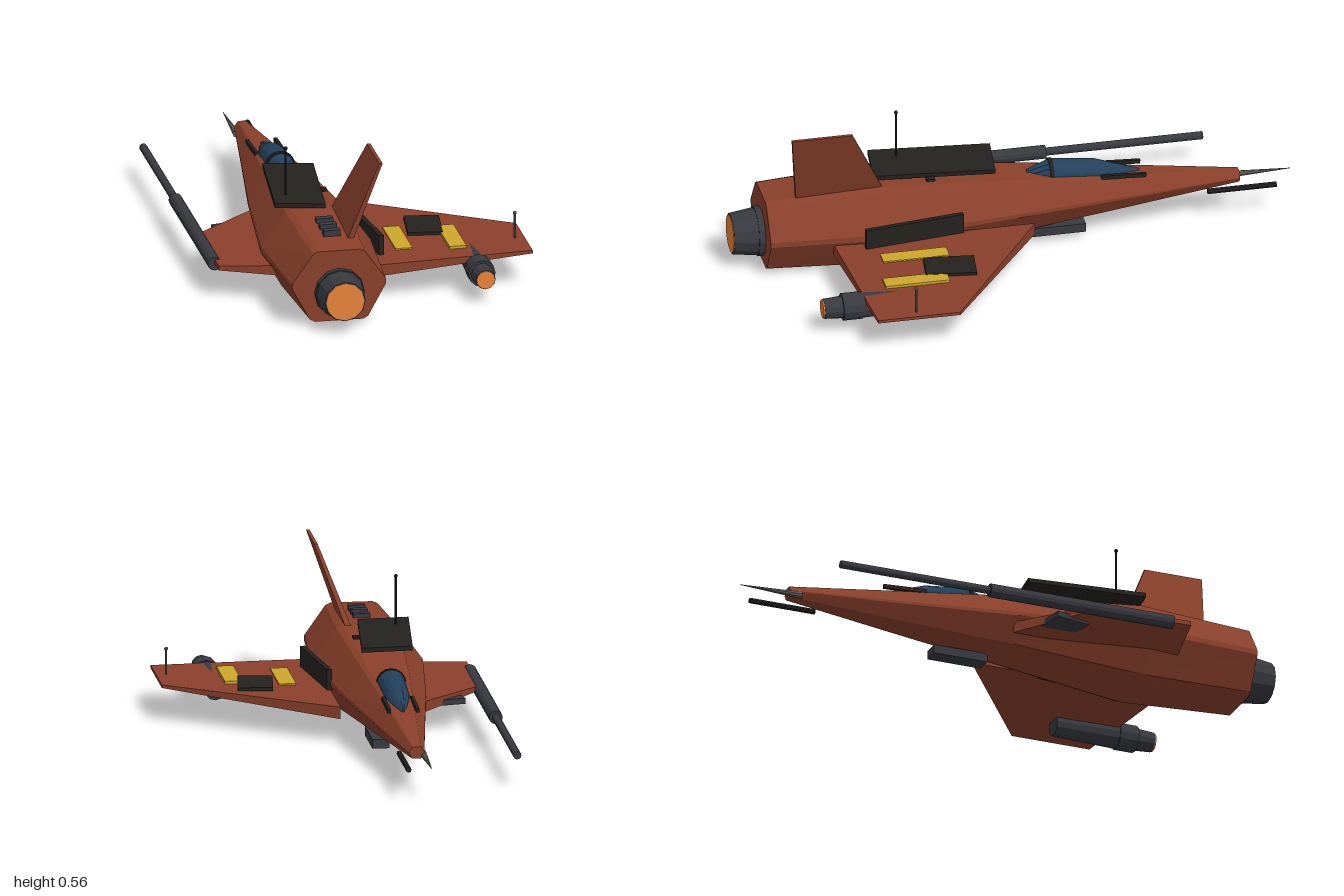
import * as THREE from 'three';

const mat = (color) => new THREE.MeshStandardMaterial({ color, flatShading: true });
const rust = mat(0x8a402b), dark = mat(0x24221f), grey = mat(0x383a40), steel = mat(0x66625e);
const glass = mat(0x24405c), yellow = mat(0xcda62a), glow = mat(0xe8833a);

// Closed solid through rings of equal point counts, turned outward by its volume
function loft(rings) {
  const n = rings[0].length, tris = [];
  for (let r = 0; r < rings.length - 1; r++) {
    for (let i = 0; i < n; i++) {
      const j = (i + 1) % n, a = rings[r], b = rings[r + 1];
      tris.push([a[i], a[j], b[j]], [a[i], b[j], b[i]]);
    }
  }
  const first = rings[0], last = rings[rings.length - 1];
  for (let i = 1; i < n - 1; i++) {
    tris.push([first[0], first[i + 1], first[i]], [last[0], last[i], last[i + 1]]);
  }
  let volume = 0;
  for (const [a, b, c] of tris) {
    volume += new THREE.Vector3(...a).dot(new THREE.Vector3(...b).cross(new THREE.Vector3(...c)));
  }
  if (volume < 0) tris.forEach((t) => t.reverse());
  const g = new THREE.BufferGeometry();
  g.setAttribute('position', new THREE.Float32BufferAttribute(tris.flat(2), 3));
  g.computeVertexNormals();
  return g;
}

// Hexagon with small corner cuts at depth z
function hullRing([z, hw, bottom, mid, top]) {
  const cx = -0.18, cut = 0.07;
  const c = [[hw, mid], [hw * 0.5, top], [-hw * 0.5, top], [-hw, mid], [-hw * 0.57, bottom], [hw * 0.57, bottom]];
  return c.flatMap((p, i) => [c[(i + 5) % 6], c[(i + 1) % 6]].map((q) =>
    [cx + p[0] + (q[0] - p[0]) * cut, p[1] + (q[1] - p[1]) * cut, z]));
}

// Wing section at x: front z, back z, lower y, upper y
const wingRing = (x, z0, z1, y0, y1) => [[x, y1, z0], [x, y1, z1], [x, y0, z1], [x, y0, z0]];

// Canopy arch at depth z
function archRing([z, hw, top], base = top - 0.05) {
  return Array.from({ length: 9 }, (_, i) => {
    const a = (i / 8) * Math.PI;
    return [-0.18 + Math.cos(a) * hw, base + Math.sin(a) * (top - base), z];
  });
}

export function createModel() {
  const root = new THREE.Group();
  const add = (name, geometry, material, x = 0, y = 0, z = 0) => {
    const m = new THREE.Mesh(geometry, material);
    m.name = name;
    m.position.set(x, y, z);
    root.add(m);
    return m;
  };
  const box = (name, material, [w, h, d], [x, y, z], yaw = 0, roll = 0) => {
    const m = add(name, new THREE.BoxGeometry(w, h, d), material, x, y, z);
    m.rotation.set(0, yaw, roll, 'YXZ');
    return m;
  };
  // Round part along z from z0 (radius r0) to z1 (radius r1)
  const rod = (name, material, x, y, z0, z1, r0, r1 = r0, sides = 12) =>
    add(name, new THREE.CylinderGeometry(r1, r0, z1 - z0, sides).rotateX(Math.PI / 2), material, x, y, (z0 + z1) / 2);

  // Body: z, half width, bottom, middle, top
  add('fuselage', loft([
    [0.89, 0.172, 0.015, 0.15, 0.272],
    [0.48, 0.202, 0, 0.15, 0.29],
    [0.0, 0.147, 0.05, 0.15, 0.252],
    [-0.4, 0.087, 0.085, 0.145, 0.21],
    [-0.81, 0.028, 0.123, 0.144, 0.165],
  ].map(hullRing)), rust);

  // Canopy, its frame and side rails
  add('canopy', loft([[-0.055, 0.022, 0.252], [-0.14, 0.05, 0.28], [-0.3, 0.045, 0.262],
    [-0.4, 0.028, 0.23], [-0.455, 0.01, 0.211]].map((s) => archRing(s))), glass);
  add('canopyFrame', loft([[-0.132, 0.052, 0.282], [-0.145, 0.053, 0.283]].map((s) => archRing(s))), dark);
  for (const s of [-1, 1]) {
    box('canopyRail', dark, [0.012, 0.014, 0.16], [-0.18 + s * 0.05, 0.214, -0.39]).rotation.x = -0.05;
  }

  // Wings of unequal span and the leaning tail fin
  add('leftWing', loft([wingRing(-0.015, -0.05, 0.667, 0.085, 0.128), wingRing(0.56, 0.34, 0.632, 0.121, 0.132)]), rust);
  add('rightWing', loft([
    wingRing(-0.3, -0.01, 0.6, 0.085, 0.125),
    wingRing(-0.52, 0.19, 0.563, 0.108, 0.126),
    wingRing(-0.54, 0.21, 0.56, 0.11, 0.126),
  ]), rust);
  const finRing = (x, y, z0, z1, t) => [[x - t, y, z0], [x - t, y, z1], [x + t, y, z1], [x + t, y, z0]];
  add('tailFin', loft([finRing(-0.12, 0.265, 0.465, 0.78, 0.011), finRing(-0.016, 0.555, 0.6, 0.815, 0.006)]), rust);

  // Main engine
  rod('engineCollar', grey, -0.18, 0.12, 0.87, 0.912, 0.088);
  rod('engineNozzle', grey, -0.18, 0.12, 0.9, 0.998, 0.086, 0.072);
  rod('engineGlow', glow, -0.18, 0.12, 0.96, 1.0, 0.068);

  // Wing pod
  rod('podBody', grey, 0.362, 0.09, 0.415, 0.66, 0.038, 0.045);
  rod('podCollar', grey, 0.362, 0.09, 0.65, 0.72, 0.048);
  rod('podNozzle', grey, 0.362, 0.09, 0.72, 0.785, 0.039, 0.035);
  rod('podGlow', glow, 0.362, 0.09, 0.75, 0.79, 0.033);

  // Guns and nose probe
  rod('wingGunBody', grey, -0.54, 0.11, -0.2, 0.49, 0.024);
  rod('wingGunBarrel', grey, -0.54, 0.11, -0.76, -0.2, 0.014);
  rod('noseGun', dark, -0.135, 0.114, -0.935, -0.69, 0.01, 0.01, 8);
  rod('noseProbe', steel, -0.207, 0.132, -1.0, -0.77, 0.001, 0.013, 8);

  // Patch plates
  box('roofPlate', dark, [0.178, 0.016, 0.428], [-0.215, 0.302, 0.275], -0.1, -0.04);
  box('roofPlateEdge', dark, [0.07, 0.008, 0.03], [-0.14, 0.29, 0.3]);
  box('sidePlate', dark, [0.018, 0.125, 0.36], [0.013, 0.138, 0.385], 0.13);
  box('wingPlate', dark, [0.123, 0.012, 0.178], [0.237, 0.135, 0.307], -0.12);
  box('wingStripe', yellow, [0.06, 0.012, 0.235], [0.125, 0.128, 0.408]);
  box('wingStripe', yellow, [0.06, 0.012, 0.228], [0.31, 0.134, 0.443]);

  // Roof vents, belly box and underwing bracket
  for (const z of [0.615, 0.677, 0.742]) box('roofVent', grey, [0.06, 0.025, 0.028], [-0.177, 0.287, z]);
  box('bellyBox', grey, [0.06, 0.032, 0.2], [-0.13, 0.041, -0.15]);
  box('underwingBox', grey, [0.11, 0.02, 0.13], [-0.405, 0.102, 0.14], 0.2);

  // Antennas with ball tips
  for (const [x, z, y0, y1, m] of [[-0.268, 0.39, 0.29, 0.483, dark], [0.525, 0.49, 0.125, 0.224, steel]]) {
    add('antennaMast', new THREE.CylinderGeometry(0.004, 0.004, y1 - y0, 6), m, x, (y0 + y1) / 2, z);
    add('antennaTip', new THREE.SphereGeometry(0.007, 8, 6), m, x, y1, z);
  }
  return root;
}
